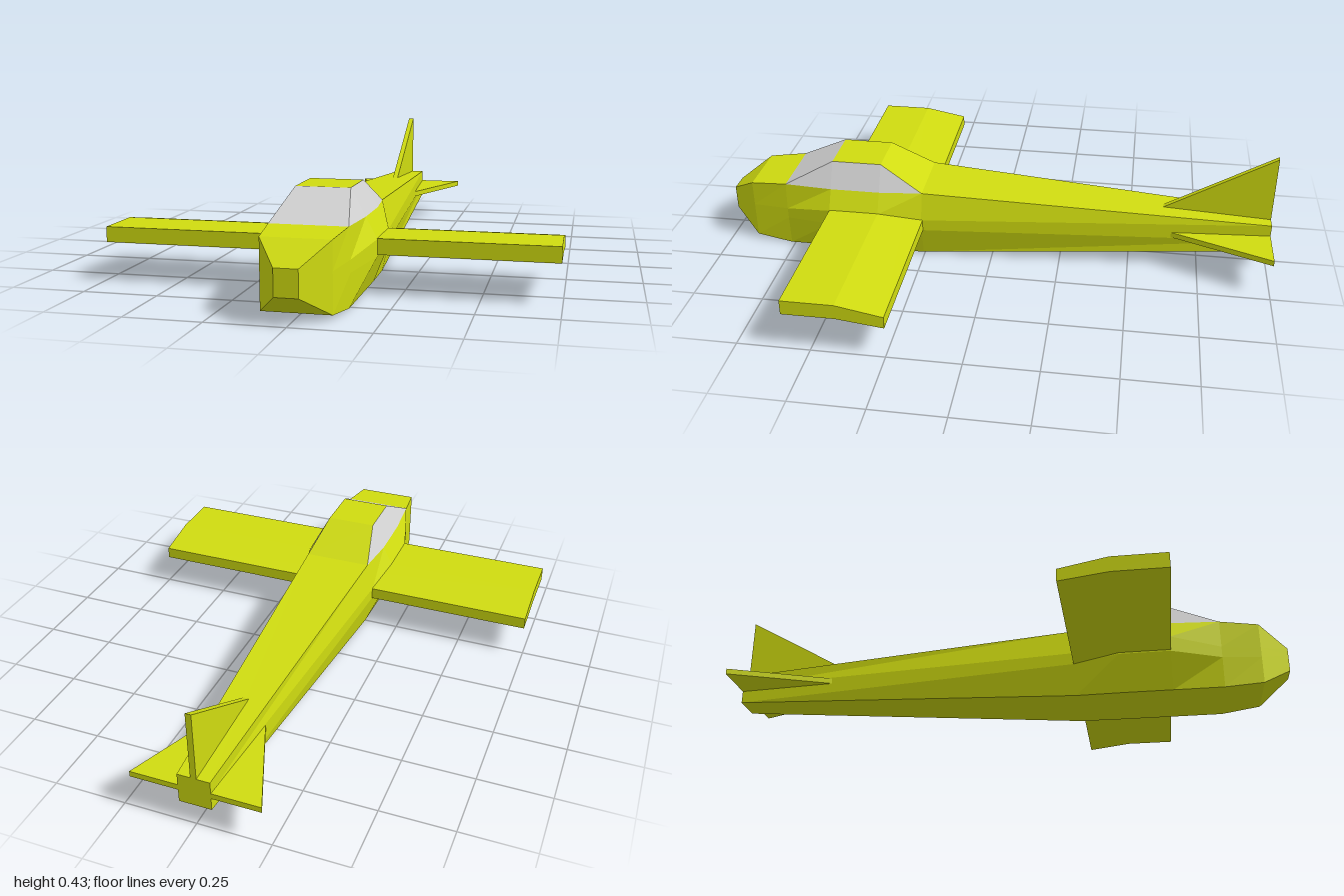
import * as THREE from 'three';

const paint = new THREE.MeshStandardMaterial({ color: 0xd0dc10 });
paint.name = 'yellowPaint';
const glass = new THREE.MeshStandardMaterial({ color: 0xd2d2d2 });
glass.name = 'greyGlass';

// Flat-faced mesh from convex polygons, corners counter-clockwise from outside
function faceted(name, polygons, material) {
  const out = [];
  for (const p of polygons)
    for (let i = 1; i < p.length - 1; i++) out.push(...p[0], ...p[i], ...p[i + 1]);
  const g = new THREE.BufferGeometry();
  g.setAttribute('position', new THREE.Float32BufferAttribute(out, 3));
  g.computeVertexNormals();
  const mesh = new THREE.Mesh(g, material);
  mesh.name = name;
  return mesh;
}

// Closed skin over rings that run from front to back
function loft(rings) {
  const polygons = [rings[0], [...rings[rings.length - 1]].reverse()];
  for (let i = 0; i < rings.length - 1; i++) {
    const n = rings[i].length;
    for (let j = 0; j < n; j++) {
      const k = (j + 1) % n;
      polygons.push([rings[i][j], rings[i + 1][j], rings[i + 1][k], rings[i][k]]);
    }
  }
  return polygons;
}

const mirrorX = (p) => p.map(([x, y, z]) => [-x, y, z]).reverse();

// Plate of given thickness, centred on 0 along its extrusion axis
function plate(points, thickness) {
  const shape = new THREE.Shape(points.map(([a, b]) => new THREE.Vector2(a, b)));
  const g = new THREE.ExtrudeGeometry(shape, { depth: thickness, bevelEnabled: false });
  return g.translate(0, 0, -thickness / 2);
}

export function createModel() {
  const model = new THREE.Group();
  const add = (name, geometry) => {
    const mesh = new THREE.Mesh(geometry, paint);
    mesh.name = name;
    model.add(mesh);
  };

  // Fuselage: z, bottom x/y, widest x with low and high y, top x/y
  const stations = [
    [1.0, 0.037, 0.085, 0.037, 0.11, 0.145, 0.037, 0.17],
    [0.9, 0.11, 0.015, 0.11, 0.11, 0.145, 0.11, 0.237],
    [0.765, 0.125, 0.0, 0.13, 0.11, 0.15, 0.125, 0.25],
    [0.59, 0.125, 0.0, 0.175, 0.125, 0.18, 0.138, 0.25],
    [0.41, 0.125, 0.0, 0.175, 0.125, 0.18, 0.138, 0.25],
    [0.255, 0.122, 0.0, 0.147, 0.11, 0.152, 0.122, 0.25],
    [-1.0, 0.055, 0.075, 0.055, 0.12, 0.14, 0.055, 0.182],
  ];
  const rings = stations.map(([z, bx, by, mx, lo, hi, tx, ty]) => {
    const half = [[bx, by, z], [mx, lo, z], [mx, hi, z], [tx, ty, z]];
    return [...half, ...mirrorX(half)];
  });
  model.add(faceted('fuselage', loft(rings), paint));

  // Cabin: painted roof and rear slope, glazed windscreen and sides
  const front = [0.125, 0.25, 0.765], back = [0.122, 0.25, 0.255];
  const sillF = [0.138, 0.25, 0.59], sillB = [0.138, 0.25, 0.41];
  const roofF = [0.09, 0.34, 0.59], roofB = [0.09, 0.34, 0.41];
  const across = (a, b) => [...mirrorX([a]), a, b, ...mirrorX([b])];
  model.add(faceted('cabinRoof', [across(roofF, roofB), across(roofB, back)], paint));
  model.add(faceted('windscreen', [across(front, roofF)], glass));
  const side = [[front, sillF, roofF], [sillF, sillB, roofB, roofF], [sillB, back, roofB]];
  model.add(faceted('leftSideWindow', side, glass));
  model.add(faceted('rightSideWindow', side.map(mirrorX), glass));

  // Wing: one bent slab running through the fuselage
  const wing = plate([
    [0.59, 0.13], [0.59, 0.182], [0.41, 0.182], [0.25, 0.152], [0.25, 0.11], [0.41, 0.13],
  ], 1.488);
  add('wing', wing.rotateY(-Math.PI / 2));
  // Rotation sends profile x to +z
  
  // Tailplane: flat wedge with swept leading edges
  const tailplane = plate([
    [-0.07, 0.62], [-0.22, 1.0], [0.22, 1.0], [0.07, 0.62],
  ], 0.02);
  add('tailplane', tailplane.rotateX(-Math.PI / 2).translate(0, 0.13, 0));

  // Fin: upright triangular plate, rooted inside the fuselage
  const fin = plate([[-0.61, 0.2], [-1.0, 0.425], [-1.0, 0.15], [-0.61, 0.17]], 0.02);
  add('fin', fin.rotateY(-Math.PI / 2));

  return model;
}
